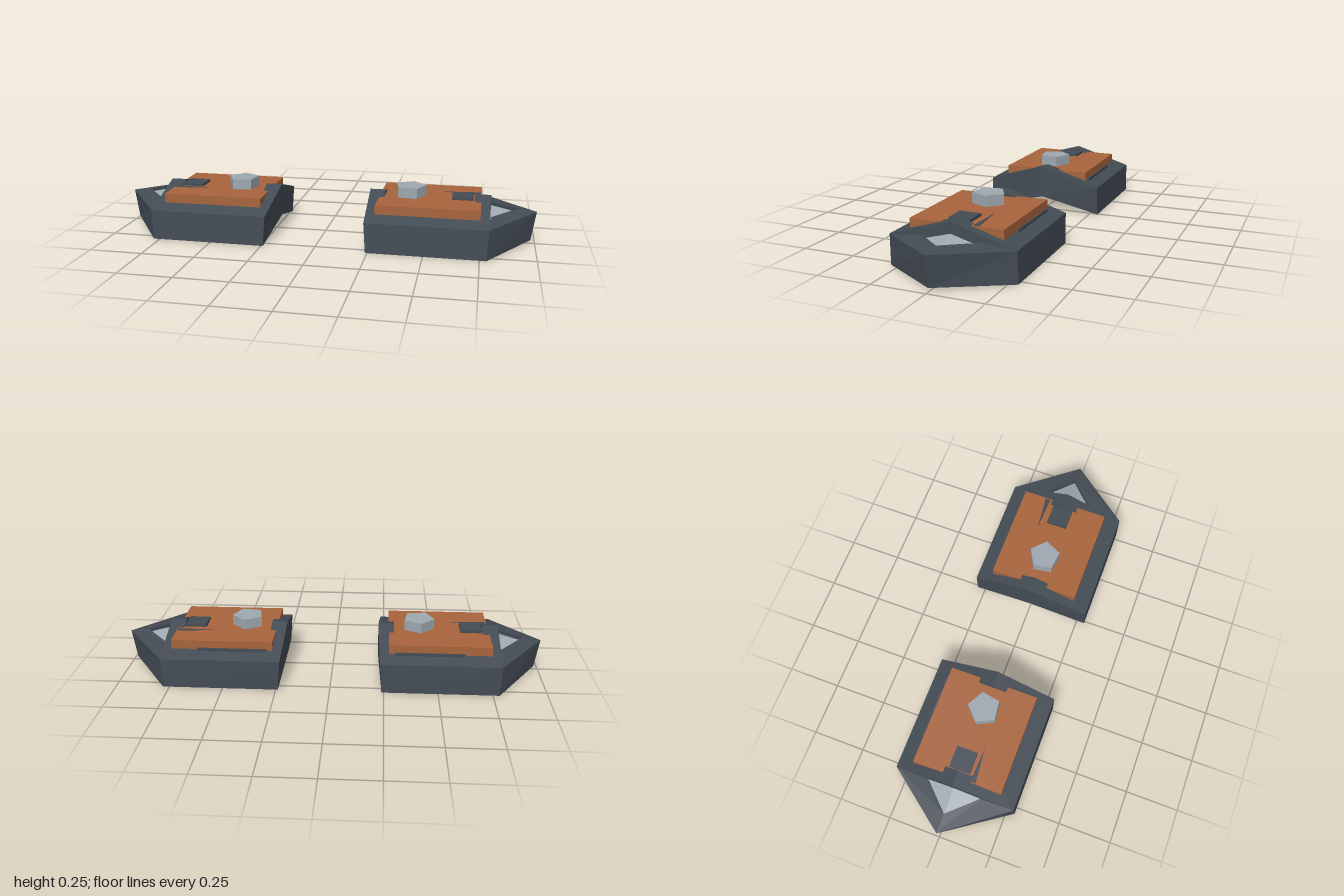
import * as THREE from 'three';

const mat = (color) => new THREE.MeshStandardMaterial({ color, flatShading: true, side: THREE.DoubleSide });

// Flat polygons for the +z half, mirrored to -z with reversed corner order.
function mirroredFaces(faces) {
  const pos = [];
  const fan = (f) => {
    for (let i = 1; i < f.length - 1; i++) pos.push(...f[0], ...f[i], ...f[i + 1]);
  };
  for (const f of faces) {
    fan(f);
    fan(f.map(([x, y, z]) => [x, y, -z]).reverse());
  }
  const g = new THREE.BufferGeometry();
  g.setAttribute('position', new THREE.Float32BufferAttribute(pos, 3));
  g.computeVertexNormals();
  return g;
}

function createUnit(side) {
  const unit = new THREE.Group();
  const dark = mat(0x434b54), copper = mat(0xa8643c), light = mat(0x9ea8b0);
  const add = (name, geometry, material, x = 0, y = 0, z = 0) => {
    const m = new THREE.Mesh(geometry, material);
    m.name = name;
    m.position.set(x, y, z);
    unit.add(m);
    return m;
  };

  // Hull corners: 0 = bottom, 1 = top of wall
  const A0 = [0.24, 0, 0.29], B0 = [0.78, 0, 0.29], T0 = [0.98, 0.016, 0], E0 = [0.22, 0.07, 0];
  const A1 = [0.23, 0.14, 0.287], B1 = [0.785, 0.14, 0.287], T1 = [1, 0.155, 0], E1 = [0.22, 0.225, 0];
  // Ridge and roof opening
  const P = [0.79, 0.225, 0];
  const a = [0.295, 0.166, 0.2], b = [0.715, 0.166, 0.2];
  const e = [0.295, 0.225, 0], p = [0.715, 0.225, 0];
  // Inner edge of the bow rim
  const r1 = [0.79, 0.155, 0.13], r2 = [0.91, 0.165, 0];

  add('hull', mirroredFaces([
    [A0, B0, B1, A1],                                // side wall
    [B0, T0, T1, B1],                                // bow wall
    [E0, A0, A1, E1],                                // inner end wall
    [A0, E0, T0, B0],                                // folded underside
    [A1, B1, b, a],                                  // side slope
    [A1, a, e, E1], [b, B1, P, p],                   // end gables
    [a, [0.295, 0.166, 0], e], [[0.715, 0.166, 0], b, p],
    [B1, [0.79, 0.14, 0], P],                        // gable face above the bow
    [B1, T1, r2, r1],                                // bow rim
    [r1, r2, [0.91, 0.13, 0], [0.79, 0.13, 0.13]],
  ]), dark);

  add('bowDeck', mirroredFaces([
    [[0.785, 0.14, 0.13], [0.91, 0.15, 0], [0.785, 0.177, 0]],
  ]), light);

  // Deck slab and its fittings
  add('deckSlab', new THREE.BoxGeometry(0.475, 0.055, 0.426), copper, 0.5075, 0.1775);
  add('hatch', new THREE.BoxGeometry(0.1, 0.035, 0.1), dark, 0.66, 0.2);
  const post = add('pentagonPost',
    new THREE.CylinderGeometry(0.076, 0.076, 0.06, 5, 1, false, Math.PI / 2), light, 0.412, 0.225, 0.005 * side);
  post.rotation.y = side * 0.18;
  add('edgeStrip', new THREE.BoxGeometry(0.32, 0.02, 0.008), dark, 0.46, 0.162, -0.222 * side);

  // Tapered inlay in the slab
  const inlay = new THREE.Shape([
    new THREE.Vector2(0.57, 0.086), new THREE.Vector2(0.74, 0.078), new THREE.Vector2(0.74, 0.103),
  ]);
  add('taperedInlay', new THREE.ExtrudeGeometry(inlay, { depth: 0.004, bevelEnabled: false })
    .rotateX(-Math.PI / 2), dark, 0, 0.203, side > 0 ? 0 : 0.015);
  return unit;
}

export function createModel() {
  const model = new THREE.Group();
  model.name = 'pairedHulls';
  for (const side of [1, -1]) {
    const unit = createUnit(side);
    unit.name = side > 0 ? 'leftUnit' : 'rightUnit';
    if (side < 0) unit.rotation.y = Math.PI;
    model.add(unit);
  }
  return model;
}
